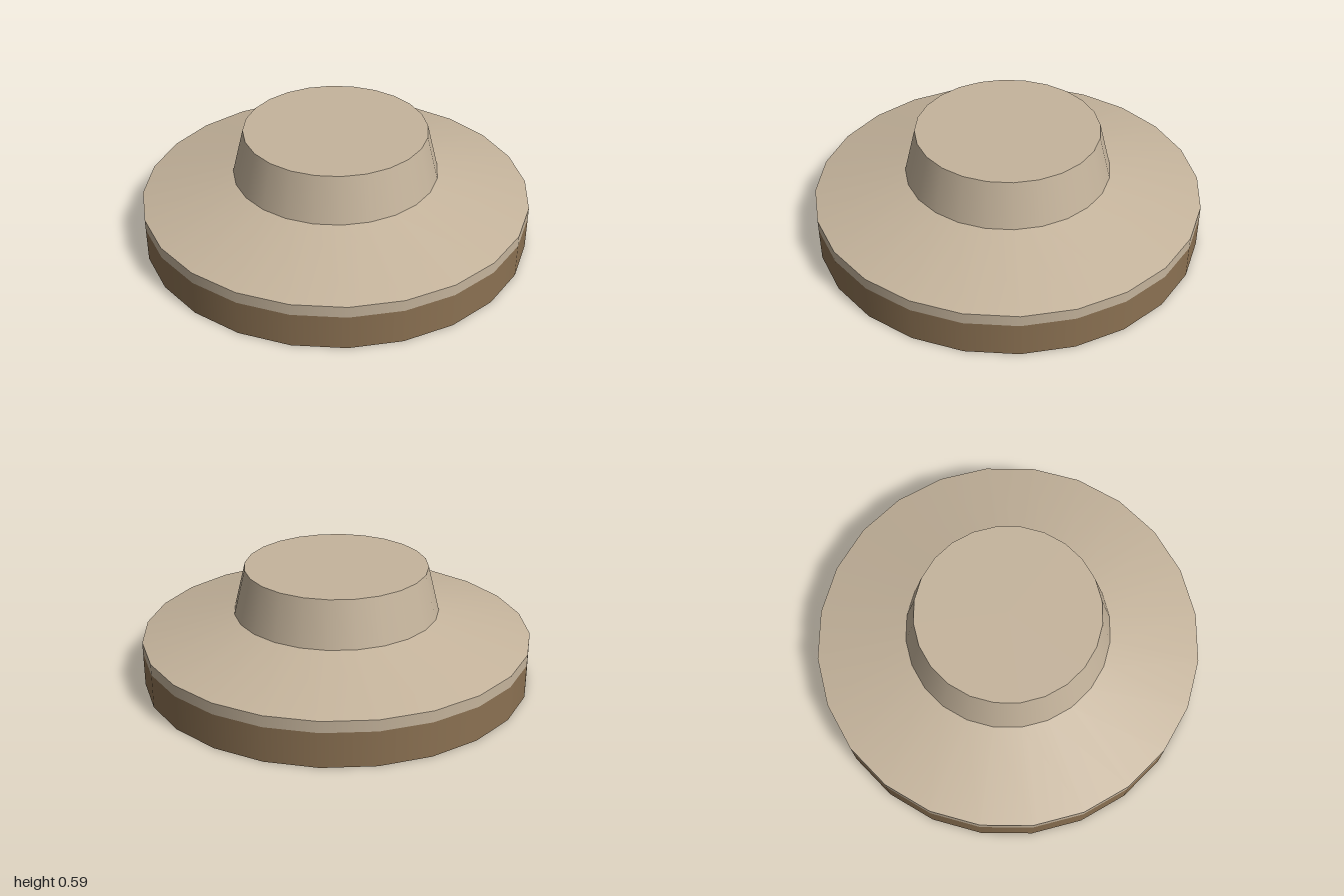
import * as THREE from 'three';

const SIDES = 24;

export function createModel() {
  const model = new THREE.Group();
  const beige = new THREE.MeshStandardMaterial({ color: 0xc5b49c });
  beige.name = 'warm beige';
  // The base ring is a thin open wall, seen from both sides
  const brown = new THREE.MeshStandardMaterial({ color: 0x8b7152, side: THREE.DoubleSide });
  brown.name = 'brown';

  // One turned band per profile segment: smooth around, sharp between bands
  function turned(name, profile, material) {
    const part = new THREE.Group();
    part.name = name;
    for (let i = 0; i < profile.length - 1; i++) {
      const ends = [profile[i], profile[i + 1]].map(([r, y]) => new THREE.Vector2(r, y));
      const band = new THREE.Mesh(new THREE.LatheGeometry(ends, SIDES), material);
      band.name = `${name}Band${i + 1}`;
      part.add(band);
    }
    model.add(part);
  }

  // Open base ring: flat bottom lip and thin outer wall
  turned('baseRing', [[0.945, 0], [1, 0], [1, 0.177]], brown);
  // Flat underside of the body, recessed inside the ring
  turned('underside', [[0, 0.177], [1, 0.177]], beige);
  // Edge band and sloping shoulder
  turned('shoulder', [[1, 0.177], [1, 0.235], [0.528, 0.353]], beige);
  // Tapered crown with a flat top
  turned('crown', [[0.528, 0.353], [0.47, 0.588], [0, 0.588]], beige);

  return model;
}
